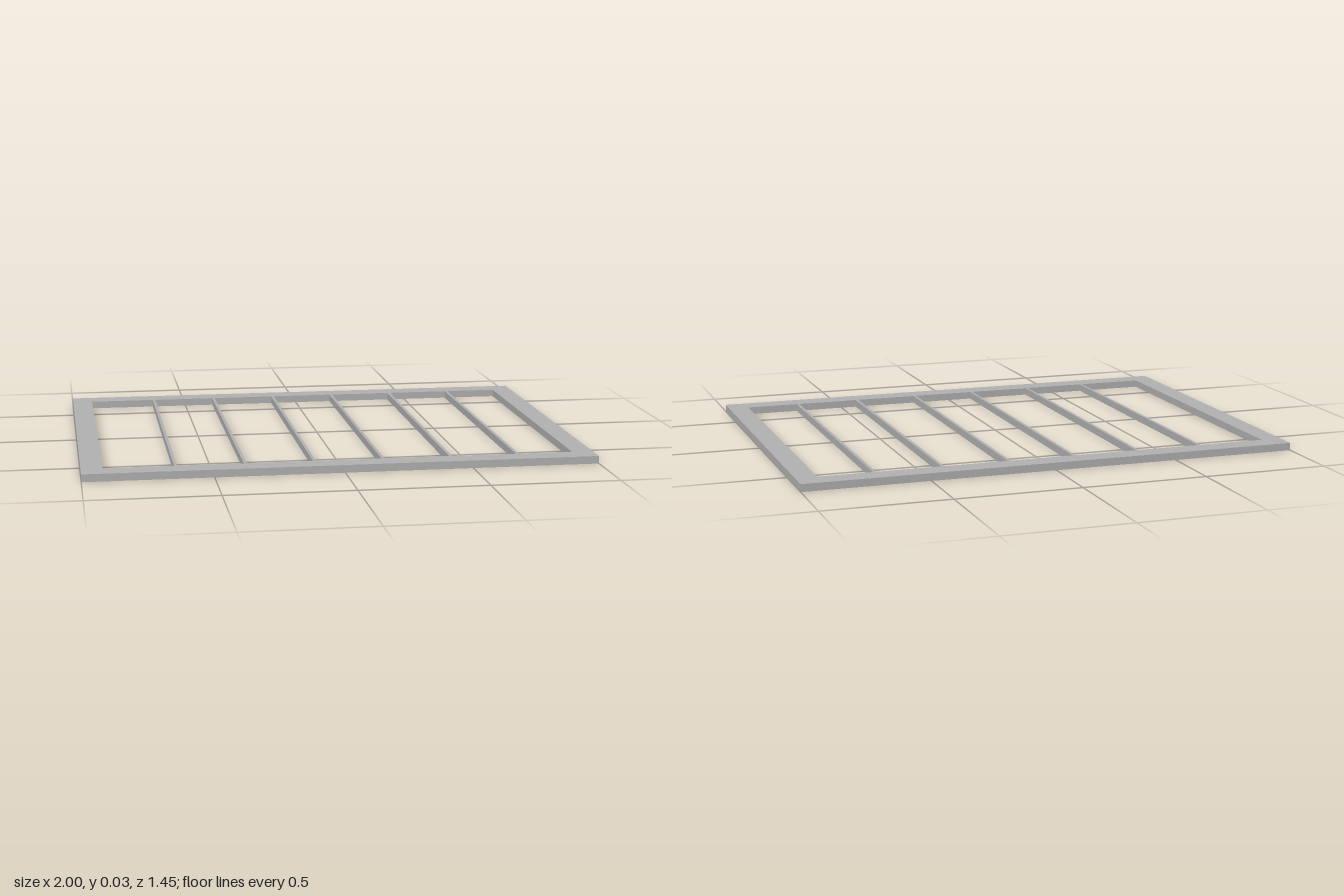
import * as THREE from 'three';

const HEIGHT = 0.03;
const OUTER_X = 1, OUTER_Z = 0.725;
const INNER_X = 0.917, INNER_Z = 0.638;

// Counter-clockwise rectangle, centred on the origin
function rectPoints(hx, hy) {
  return [[-hx, -hy], [hx, -hy], [hx, hy], [-hx, hy]].map(([x, y]) => new THREE.Vector2(x, y));
}

export function createModel() {
  const group = new THREE.Group();
  group.name = 'barredFrame';
  const metal = new THREE.MeshStandardMaterial({ color: 0xb3b3b3 });
  metal.name = 'grey metal';

  // Flat rectangular border with one large opening
  const outline = new THREE.Shape(rectPoints(OUTER_X, OUTER_Z));
  outline.holes.push(new THREE.Path(rectPoints(INNER_X, INNER_Z).reverse()));
  const frameGeometry = new THREE.ExtrudeGeometry(outline, { depth: HEIGHT, bevelEnabled: false });
  frameGeometry.rotateX(-Math.PI / 2);
  const frame = new THREE.Mesh(frameGeometry, metal);
  frame.name = 'frame';
  group.add(frame);

  // Six thin bars, spaced evenly from the right-hand side of the opening
  const barGeometry = new THREE.BoxGeometry(0.012, HEIGHT, INNER_Z * 2);
  for (let i = 0; i < 6; i++) {
    const bar = new THREE.Mesh(barGeometry, metal);
    bar.name = `bar${i + 1}`;
    bar.position.set(-0.641 + i * 0.2675, HEIGHT / 2, 0);
    group.add(bar);
  }
  return group;
}
